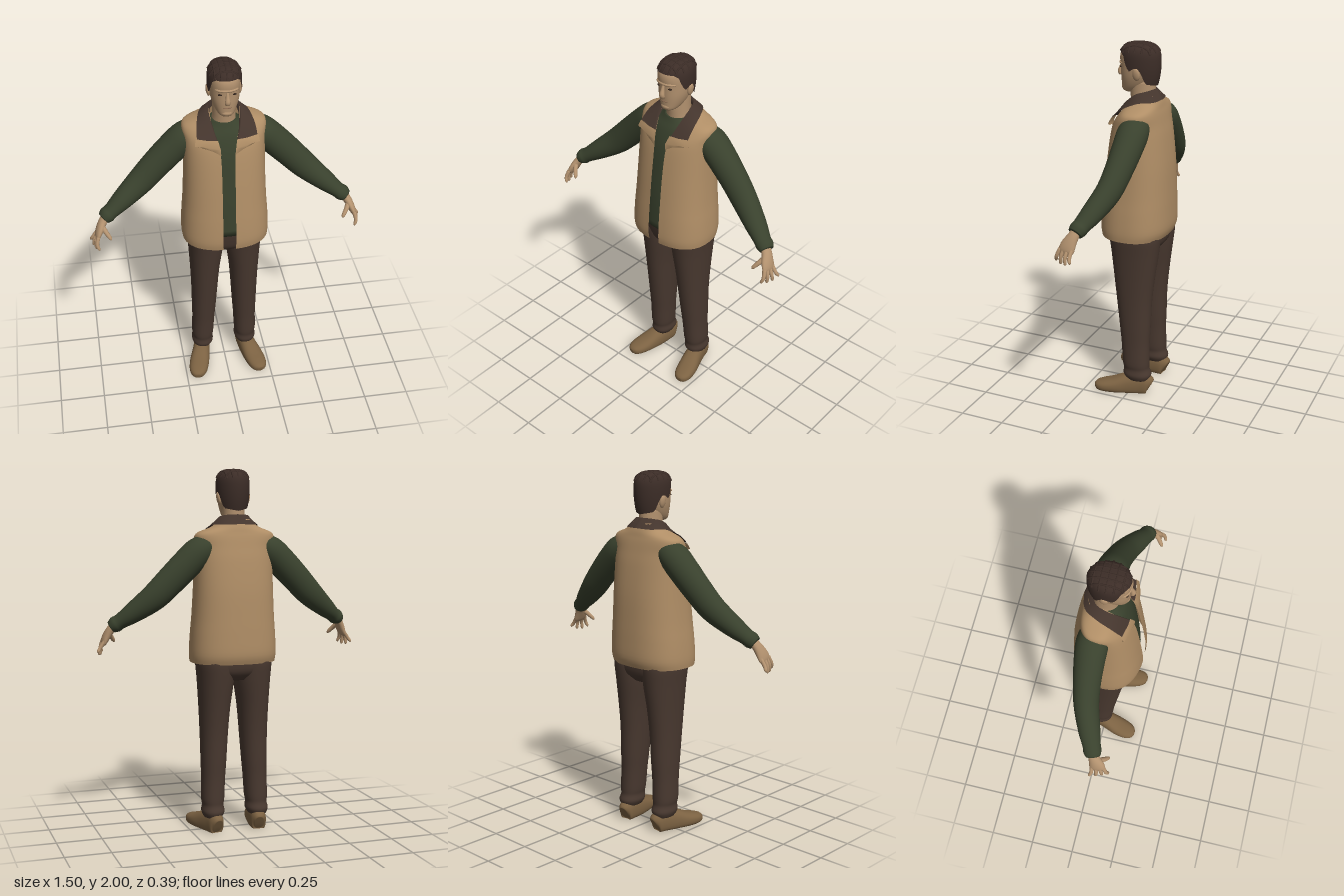
import * as THREE from 'three';

const mat = (name, color, side = THREE.FrontSide) => {
  const m = new THREE.MeshStandardMaterial({ color, side });
  m.name = name;
  return m;
};
const M = {
  skin: mat('skin', 0xb3926f),
  hair: mat('hair brown', 0x3c2d27, THREE.DoubleSide),
  vest: mat('vest tan', 0xb08e66, THREE.DoubleSide),
  collar: mat('collar brown', 0x44352d, THREE.DoubleSide),
  shirt: mat('shirt green', 0x39412d),
  trousers: mat('trouser brown', 0x48382f),
  shoe: mat('shoe brown', 0x7c6242),
  eye: mat('eye dark', 0x33261e),
  lip: mat('lip', 0x8b6a52),
};

// Surface through rows of points
function grid(rows, closed) {
  const n = rows[0].length, pos = [], idx = [];
  rows.forEach(r => r.forEach(p => pos.push(p.x, p.y, p.z)));
  for (let i = 0; i < rows.length - 1; i++)
    for (let j = 0; j < (closed ? n : n - 1); j++) {
      const k = (j + 1) % n, a = i * n + j, b = i * n + k, c = b + n, d = a + n;
      idx.push(a, b, c, a, c, d);
    }
  const g = new THREE.BufferGeometry();
  g.setAttribute('position', new THREE.Float32BufferAttribute(pos, 3));
  g.setIndex(idx);
  g.computeVertexNormals();
  return g;
}

// Catmull-Rom between rows of numbers
function smooth(rows, k = 4) {
  const out = [], at = i => rows[Math.max(0, Math.min(rows.length - 1, i))];
  for (let i = 0; i < rows.length - 1; i++)
    for (let s = 0; s < k; s++) {
      const t = s / k;
      out.push(rows[i].map((b, c) => {
        const a = at(i - 1)[c], d = at(i + 1)[c], e = at(i + 2)[c];
        return 0.5 * (2 * b + (d - a) * t + (2 * a - 5 * b + 4 * d - e) * t * t + (3 * b - a - 3 * d + e) * t * t * t);
      }));
    }
  out.push(rows[rows.length - 1]);
  return out;
}

const Y = new THREE.Vector3(0, 1, 0), Z = new THREE.Vector3(0, 0, 1);
const pw = (v, n) => Math.sign(v) * Math.pow(Math.abs(v), 2 / n);

// Rings [x, y, z, radius across, radius along ref], capped at both ends
function sweep(rows, { ref = Z, n = 2, axis = null, seg = 28 } = {}) {
  const s = smooth(rows), P = s.map(r => new THREE.Vector3(r[0], r[1], r[2]));
  const rings = s.map((r, i) => {
    const t = axis || P[Math.min(i + 1, P.length - 1)].clone().sub(P[Math.max(i - 1, 0)]).normalize();
    const v = ref.clone().addScaledVector(t, -ref.dot(t)).normalize(), u = t.clone().cross(v);
    return Array.from({ length: seg }, (_, j) => {
      const a = j / seg * Math.PI * 2;
      return P[i].clone().addScaledVector(u, r[3] * pw(Math.sin(a), n)).addScaledVector(v, r[4] * pw(Math.cos(a), n));
    });
  });
  const cap = p => Array.from({ length: seg }, () => p.clone());
  return grid([cap(P[0]), ...rings, cap(P[P.length - 1])], true);
}

// Level rings [y, x centre, x radius, z front, z back]
const stack = (rows, n = 2) =>
  sweep(rows.map(([y, x, rx, f, b]) => [x, y, (f + b) / 2, rx, (f - b) / 2]), { axis: Y, n, seg: 36 });

function lookup(table, x) {
  for (let i = 1; i < table.length; i++)
    if (x <= table[i][0]) {
      const [a, p] = table[i - 1], [b, q] = table[i];
      return p + (q - p) * (x - a) / (b - a);
    }
  return table[table.length - 1][1];
}

export function createModel() {
  const root = new THREE.Group();
  root.name = 'standingMan';
  const add = (name, geo, m, parent = root) => {
    const mesh = new THREE.Mesh(geo, m);
    mesh.name = name;
    parent.add(mesh);
    return mesh;
  };
  const ball = (name, m, p, r, parent) => {
    const b = add(name, new THREE.SphereGeometry(1, 20, 14), m, parent);
    b.position.set(...p);
    b.scale.set(...r);
    return b;
  };

  // Trouser seat and shirt body
  add('trouserSeat', stack([[0.855, 0, 0.09, 0.07, -0.11], [0.9, 0, 0.19, 0.115, -0.15],
    [0.96, 0, 0.208, 0.135, -0.16], [1.03, 0, 0.2, 0.15, -0.16]], 2.4), M.trousers);
  add('shirtBody', stack([[1.02, 0, 0.19, 0.165, -0.16], [1.2, 0, 0.19, 0.155, -0.16], [1.35, 0, 0.185, 0.138, -0.155],
    [1.5, 0, 0.18, 0.117, -0.14], [1.6, 0, 0.17, 0.088, -0.12], [1.65, 0, 0.1, 0.062, -0.1], [1.675, 0, 0.068, 0.05, -0.09]], 2.2), M.shirt);

  // Open vest [y, x radius, z front, z back, half opening]
  const vest = smooth([[0.95, 0.236, 0.19, -0.175, 0.033], [1.0, 0.24, 0.196, -0.19, 0.035], [1.1, 0.235, 0.19, -0.19, 0.035],
    [1.2, 0.227, 0.18, -0.187, 0.035], [1.35, 0.22, 0.163, -0.18, 0.035], [1.5, 0.217, 0.14, -0.163, 0.037],
    [1.58, 0.218, 0.118, -0.148, 0.046], [1.63, 0.224, 0.085, -0.138, 0.06], [1.66, 0.205, 0.06, -0.13, 0.07],
    [1.69, 0.13, 0.04, -0.122, 0.075], [1.73, 0.085, 0.02, -0.105, 0.08]]);
  add('vest', grid(vest.map(([y, rx, f, b, g]) => {
    const n = 2.4, a0 = Math.asin(Math.pow(g / rx, n / 2));
    return Array.from({ length: 49 }, (_, j) => {
      const a = a0 + (Math.PI * 2 - 2 * a0) * j / 48;
      return new THREE.Vector3(rx * pw(Math.sin(a), n), y, (f + b) / 2 + (f - b) / 2 * pw(Math.cos(a), n));
    });
  })), M.vest);

  // Folded collar: neck edge, fold and outer edge, mirrored across the back
  const strip = pts => {
    const half = smooth(pts, 4);
    return [...half.slice(1).reverse().map(p => [-p[0], p[1], p[2]]), ...half].map(p => new THREE.Vector3(...p));
  };
  add('collar', grid([
    strip([[0, 1.715, -0.085], [0.06, 1.712, -0.06], [0.075, 1.7, -0.01], [0.068, 1.66, 0.06], [0.052, 1.605, 0.105]]),
    strip([[0, 1.757, -0.09], [0.066, 1.752, -0.06], [0.086, 1.735, -0.005], [0.078, 1.68, 0.06], [0.056, 1.605, 0.118]]),
    strip([[0, 1.705, -0.132], [0.085, 1.702, -0.11], [0.13, 1.7, -0.04], [0.152, 1.665, 0.045], [0.158, 1.62, 0.098]]),
  ]), M.collar);

  for (const s of [1, -1]) {
    const side = s > 0 ? 'left' : 'right';
    const mir = rows => rows.map(([x, ...r]) => [s * x, ...r]);

    // Lapel flap under the collar tip
    const flap = rows => grid(rows.map(r => mir(r).map(p => new THREE.Vector3(...p))));
    add(side + 'Lapel', flap([[[0.05, 1.61, 0.115], [0.11, 1.615, 0.112], [0.165, 1.615, 0.095]],
      [[0.04, 1.57, 0.138], [0.11, 1.585, 0.132], [0.17, 1.585, 0.112]],
      [[0.037, 1.53, 0.137], [0.08, 1.56, 0.133], [0.165, 1.58, 0.1]]]), M.vest);

    // Sleeve with gathered cuff
    add(side + 'Sleeve', sweep(mir([[0.14, 1.595, -0.045, 0.06, 0.07], [0.2, 1.56, -0.045, 0.08, 0.084],
      [0.27, 1.495, -0.043, 0.082, 0.08], [0.36, 1.405, -0.035, 0.079, 0.072], [0.45, 1.315, -0.018, 0.073, 0.066],
      [0.556, 1.232, 0.022, 0.056, 0.058], [0.62, 1.185, 0.05, 0.042, 0.048], [0.645, 1.168, 0.06, 0.044, 0.048],
      [0.665, 1.153, 0.068, 0.034, 0.04]])), M.shirt);

    // Hand with four fingers and a thumb
    const hand = new THREE.Group();
    hand.name = side + 'Hand';
    root.add(hand);
    add('palm', sweep(mir([[0.64, 1.175, 0.06, 0.024, 0.028], [0.67, 1.138, 0.075, 0.023, 0.031], [0.69, 1.1, 0.092, 0.021, 0.041],
      [0.703, 1.07, 0.1, 0.016, 0.043], [0.71, 1.055, 0.103, 0.007, 0.035]])), M.skin, hand);
    for (let i = 0; i < 4; i++) {
      const z = 0.07 + 0.021 * i, tipX = 0.74 - 0.012 * i, tipY = [1.015, 1.0, 0.998, 1.008][i], tipZ = 0.064 + 0.031 * i;
      add('finger', sweep(mir([[0.702, 1.078, z, 0.011, 0.011], [(0.718 + tipX) / 2, 1.04, (z + tipZ) / 2 + 0.004, 0.01, 0.01],
        [tipX, tipY + 0.008, tipZ, 0.008, 0.008], [tipX + 0.001, tipY, tipZ, 0.003, 0.003]]), { seg: 12 }), M.skin, hand);
    }
    add('thumb', sweep(mir([[0.682, 1.13, 0.09, 0.016, 0.016], [0.66, 1.1, 0.122, 0.013, 0.013],
      [0.64, 1.073, 0.143, 0.01, 0.01], [0.635, 1.062, 0.148, 0.004, 0.004]]), { seg: 12 }), M.skin, hand);

    // Trouser leg [y, inner x, outer x, z front, z back]
    add(side + 'TrouserLeg', stack([[0.085, 0.08, 0.18, 0.025, -0.108], [0.115, 0.066, 0.191, 0.042, -0.12],
      [0.15, 0.07, 0.185, 0.04, -0.108], [0.19, 0.064, 0.19, 0.047, -0.108], [0.3, 0.058, 0.187, 0.055, -0.106],
      [0.4, 0.05, 0.188, 0.066, -0.11], [0.55, 0.04, 0.19, 0.083, -0.115], [0.7, 0.028, 0.195, 0.1, -0.13],
      [0.85, 0.008, 0.203, 0.118, -0.15], [0.95, 0.004, 0.21, 0.13, -0.16], [0.99, 0.01, 0.2, 0.12, -0.15]]
      .map(([y, a, b, f, k]) => [y, s * (a + b) / 2, (b - a) / 2, f, k]), 2.2), M.trousers);

    // Shoe turned outwards, flattened on the ground
    const shoe = sweep(mir([[0.121, 0.045, -0.114, 0.024, 0.04], [0.123, 0.05, -0.1, 0.041, 0.062], [0.13, 0.052, -0.05, 0.046, 0.068],
      [0.145, 0.045, 0.02, 0.052, 0.062], [0.165, 0.034, 0.09, 0.057, 0.045], [0.18, 0.028, 0.15, 0.052, 0.034],
      [0.187, 0.024, 0.185, 0.036, 0.026], [0.189, 0.022, 0.199, 0.014, 0.014]]), { ref: Y, n: 2.4 });
    const p = shoe.attributes.position;
    for (let i = 0; i < p.count; i++) p.setY(i, Math.max(0.004, p.getY(i)) - 0.004);
    shoe.computeVertexNormals();
    add(side + 'Shoe', shoe, M.shoe);
  }

  // Head and neck
  const head = new THREE.Group();
  head.name = 'head';
  root.add(head);
  add('neck', stack([[1.62, 0, 0.07, 0.045, -0.09], [1.68, 0, 0.062, 0.048, -0.085], [1.73, 0, 0.06, 0.052, -0.085],
    [1.8, 0, 0.06, 0.055, -0.085]]), M.skin, head);
  add('skull', stack([[1.733, 0, 0.026, 0.085, 0.02], [1.745, 0, 0.043, 0.097, -0.01], [1.775, 0, 0.06, 0.1, -0.055],
    [1.82, 0, 0.074, 0.103, -0.085], [1.87, 0, 0.08, 0.104, -0.1], [1.92, 0, 0.081, 0.108, -0.106],
    [1.955, 0, 0.074, 0.097, -0.095], [1.982, 0, 0.045, 0.06, -0.06]], 2.2), M.skin, head);
  add('nose', sweep([[0, 1.888, 0.1, 0.008, 0.008], [0, 1.86, 0.108, 0.01, 0.011], [0, 1.833, 0.115, 0.015, 0.014],
    [0, 1.82, 0.108, 0.014, 0.01]], { seg: 16 }), M.skin, head);
  ball('brow', M.skin, [0, 1.892, 0.075], [0.062, 0.014, 0.037], head);
  ball('chin', M.skin, [0, 1.757, 0.083], [0.03, 0.018, 0.02], head);
  ball('mouth', M.lip, [0, 1.792, 0.092], [0.026, 0.005, 0.013], head);
  for (const s of [1, -1]) {
    ball('eye', M.eye, [s * 0.034, 1.869, 0.093], [0.014, 0.006, 0.007], head);
    const ear = ball('ear', M.skin, [s * 0.083, 1.842, -0.012], [0.011, 0.034, 0.021], head);
    ear.rotation.z = -s * 0.15;
  }

  // Hair cap following a hairline by angle from the front
  const hairline = [[0, 1.95], [0.65, 1.948], [0.95, 1.93], [1.1, 1.88], [1.3, 1.855], [1.55, 1.875], [1.85, 1.86], [2.15, 1.79], [3.15, 1.775]];
  const hairPoint = (a, y) => {
    const t = Math.max(0, (y - 1.9) / 0.098), low = Math.max(0, 1.9 - y) / 0.12;
    const k = Math.cbrt(Math.max(0, 1 - t * t * t)) * (1 - 0.14 * low * low);
    return new THREE.Vector3(0.09 * k * Math.sin(a), y, -0.002 + 0.114 * k * Math.cos(a));
  };
  add('hairCap', grid(Array.from({ length: 17 }, (_, i) => Array.from({ length: 48 }, (_, j) => {
    const a = j / 48 * Math.PI * 2, y0 = lookup(hairline, Math.min(a, Math.PI * 2 - a));
    return hairPoint(a, y0 + (1.998 - y0) * Math.sin(i / 16 * Math.PI / 2));
  })), true), M.hair, head);

  // Crossing locks over the crown
  for (let i = -2; i <= 2; i++)
    for (const across of [true, false]) {
      const c = i * 0.32, reach = 0.93 * Math.sqrt(1 - c * c);
      const pts = Array.from({ length: 11 }, (_, j) => {
        const d = (j / 5 - 1) * reach, u = across ? d : c, v = across ? c : d;
        return new THREE.Vector3(0.09 * u, 1.897 + 0.098 * Math.cbrt(1 - Math.pow(Math.hypot(u, v), 3)), -0.002 + 0.114 * v);
      });
      add('hairLock', new THREE.TubeGeometry(new THREE.CatmullRomCurve3(pts), 20, 0.006, 6), M.hair, head);
    }
  return root;
}
